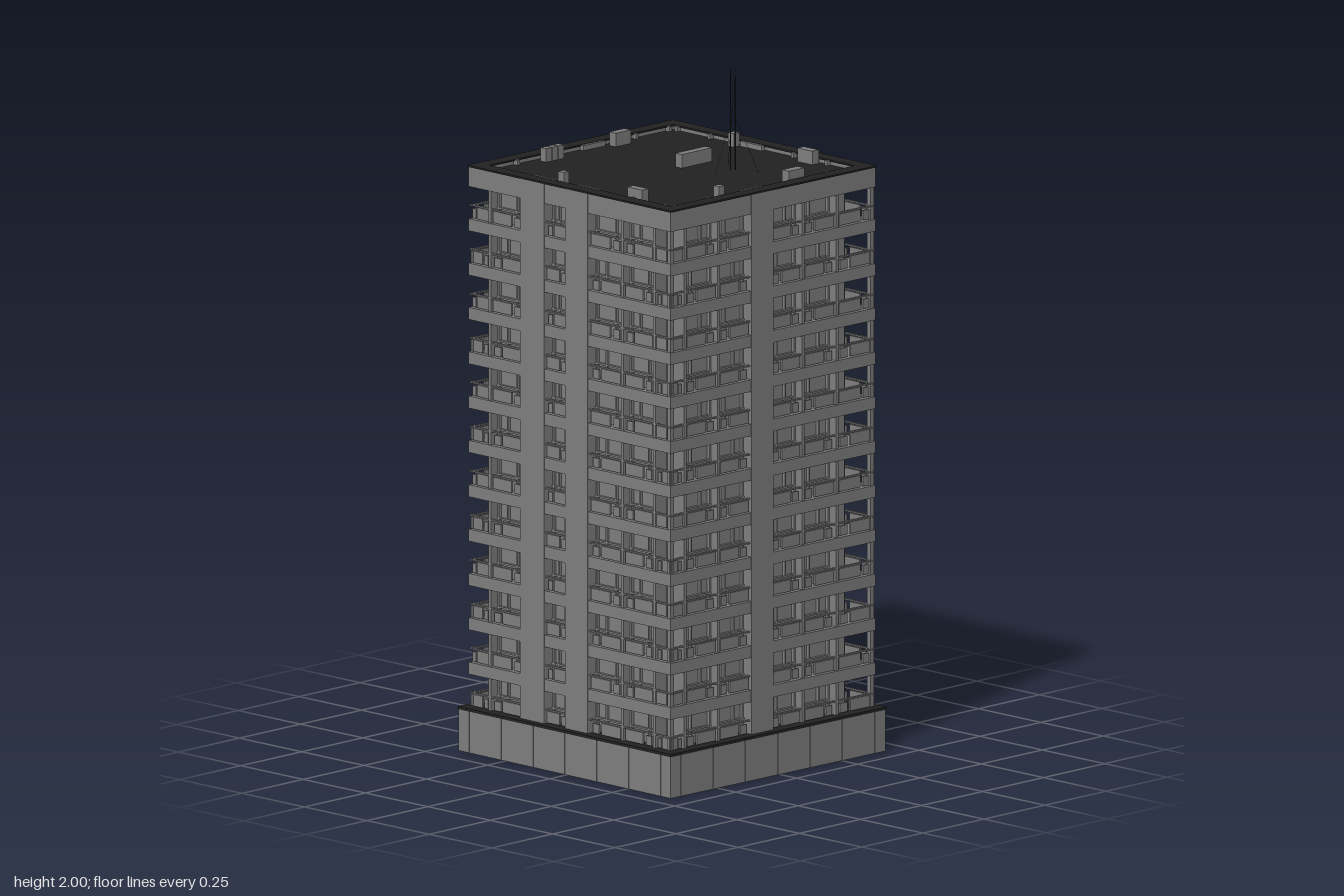
import * as THREE from 'three';
import { mergeGeometries } from 'three/addons/utils/BufferGeometryUtils.js';

const wallMat = new THREE.MeshStandardMaterial({ color: 0x808080 });
const darkMat = new THREE.MeshStandardMaterial({ color: 0x222222 });

const BASE = 0.13, PITCH = 0.1303, FLOORS = 12, OPEN = 0.095, TOP = 1.72;
const OUT = 0.412, CORE = 0.375, NOTCH = 0.325;

function box(w, h, d, x, y, z) {
  return new THREE.BoxGeometry(w, h, d).translate(x, y, z);
}

// Square outline, or a plus outline when the corners are notched
function outline(half, notch) {
  const pts = [];
  for (let i = 0; i < 4; i++) {
    const corner = notch
      ? [[half, notch], [notch, notch], [notch, half]]
      : [[half, half]];
    for (const [x, y] of corner) {
      pts.push(new THREE.Vector2(x, y).rotateAround(new THREE.Vector2(), i * Math.PI / 2));
    }
  }
  return pts;
}

// Horizontal ring between two outlines, from y0 to y1
function ring(outer, inner, y0, y1) {
  const shape = new THREE.Shape(outer);
  if (inner) shape.holes.push(new THREE.Path(inner));
  return new THREE.ExtrudeGeometry(shape, { depth: y1 - y0, bevelEnabled: false })
    .rotateX(-Math.PI / 2).translate(0, y0, 0);
}

function add(parent, name, geometries, material = wallMat) {
  const mesh = new THREE.Mesh(mergeGeometries(geometries), material);
  mesh.name = name;
  parent.add(mesh);
  return mesh;
}

// Bay openings on each side, left to right as seen from outside
const sideBays = [[-OUT, -0.355], [-0.345, -0.22], [-0.21, -0.088], [0, 0.12], [0.13, 0.257], [0.267, OUT]];
const frontBays = [[-OUT, -0.335], [-0.325, -0.2], [-0.102, -0.018], [0.075, 0.205], [0.215, 0.335], [0.345, OUT]];
const backBays = sideBays.map(([a, b]) => [-b, -a]).reverse();

function addFacade(parent, name, bays, angle) {
  const facade = new THREE.Group();
  facade.name = name;
  facade.rotation.y = angle;
  parent.add(facade);

  // Full-height piers and thin fins fill the gaps between bays
  const piers = [];
  for (let i = 0; i + 1 < bays.length; i++) {
    const a = bays[i][1], b = bays[i + 1][0];
    const wide = b - a > 0.05;
    const front = OUT + (wide ? 0.002 : -0.004);
    piers.push(box(b - a, TOP - BASE, front - 0.36, (a + b) / 2, (TOP + BASE) / 2, (front + 0.36) / 2));
  }
  add(facade, 'piers', piers);

  const railings = [], frames = [];
  for (let f = 0; f < FLOORS; f++) {
    const y = BASE + f * PITCH;
    bays.forEach(([a, b], i) => {
      const w = b - a, mid = (a + b) / 2;
      // Balcony parapet with a gap, under a thin handrail
      const flip = (i + f) % 2 ? -1 : 1;
      railings.push(box(w * 0.6, 0.034, 0.006, mid - flip * w * 0.16, y + 0.019, 0.402));
      railings.push(box(w * 0.2, 0.028, 0.006, mid + flip * w * 0.32, y + 0.016, 0.4));
      railings.push(box(w, 0.004, 0.008, mid, y + 0.04, 0.404));
      // Window frame on the recessed wall
      if (i > 0 && i < bays.length - 1) {
        for (const s of [-1, 1]) frames.push(box(0.006, OPEN, 0.01, mid + s * (w / 2 - 0.006), y + OPEN / 2, CORE + 0.004));
        frames.push(box(0.005, OPEN, 0.01, mid + flip * w * 0.15, y + OPEN / 2, CORE + 0.004));
        frames.push(box(w, 0.006, 0.01, mid, y + OPEN - 0.005, CORE + 0.004));
        frames.push(box(w, 0.005, 0.01, mid, y + 0.042, CORE + 0.004));
      }
    });
  }
  add(facade, 'balconyRailings', railings);
  add(facade, 'windowFrames', frames);
}

function rod(a, b, r) {
  return new THREE.TubeGeometry(new THREE.LineCurve3(a, b), 1, r, 5);
}

export function createModel() {
  const model = new THREE.Group();
  model.name = 'apartmentTower';
  const tower = new THREE.Group();
  tower.name = 'tower';
  tower.rotation.y = -0.017;
  model.add(tower);

  // Hollow plinth with panel joints and a dark ledge
  add(tower, 'plinthWalls', [ring(outline(0.432), outline(0.42), 0, 0.124)]);
  add(tower, 'plinthLedge', [ring(outline(0.434), outline(0.37), 0.122, 0.13)], darkMat);
  const joints = [];
  for (let s = 0; s < 4; s++) {
    for (let i = -3; i <= 3; i++) {
      joints.push(box(0.004, 0.122, 0.003, i * 0.13, 0.061, 0.4325).rotateY(s * Math.PI / 2));
    }
  }
  add(tower, 'plinthJoints', joints);

  // Hollow inner walls with notched corners
  add(tower, 'innerWalls', [ring(outline(CORE, NOTCH), outline(CORE - 0.012, NOTCH - 0.012), 0.125, 1.7)]);

  // Floor bands wrapping all four sides, the last one forming the roof parapet
  const bands = [];
  for (let f = 0; f < FLOORS; f++) {
    const y = BASE + f * PITCH + OPEN;
    const last = f === FLOORS - 1;
    bands.push(ring(outline(OUT), outline(last ? CORE : NOTCH - 0.012), y, last ? TOP - 0.003 : BASE + (f + 1) * PITCH));
  }
  add(tower, 'floorBands', bands);

  // Slim posts at three of the corners
  const posts = [[1, 1], [1, -1], [-1, -1]].map(([x, z]) =>
    box(0.014, TOP - BASE - 0.01, 0.014, x * 0.402, (TOP + BASE) / 2 - 0.003, z * 0.402));
  add(tower, 'cornerPosts', posts);

  addFacade(tower, 'frontFacade', frontBays, 0);
  addFacade(tower, 'leftFacade', sideBays, Math.PI / 2);
  addFacade(tower, 'backFacade', backBays, Math.PI);
  addFacade(tower, 'rightFacade', sideBays, -Math.PI / 2);

  // Dark roof deck and parapet coping
  add(tower, 'roofDeck', [ring(outline(0.38), null, 1.695, 1.705)], darkMat);
  add(tower, 'roofCoping', [ring(outline(OUT + 0.003), outline(0.37), TOP - 0.004, TOP + 0.001)], darkMat);

  // Rooftop vents: x, z, width, depth
  const vents = [
    [-0.095, -0.35, 0.023, 0.022], [0.205, -0.348, 0.06, 0.026],
    [-0.095, 0.347, 0.023, 0.022], [0.205, 0.349, 0.06, 0.026],
    [-0.342, -0.137, 0.026, 0.062], [0.352, -0.137, 0.028, 0.062],
    [-0.016, -0.105, 0.026, 0.124], [0.35, 0.165, 0.022, 0.022],
    [-0.344, 0.114, 0.022, 0.022], [-0.344, 0.139, 0.022, 0.022], [-0.344, 0.164, 0.022, 0.022],
  ];
  add(model, 'roofVents', vents.map(([x, z, w, d]) => box(w, 0.045, d, x, 1.7225, z)));

  // Mast pair with guy wires
  const v = (x, y, z) => new THREE.Vector3(x, y, z);
  add(model, 'antennaMasts', [
    rod(v(0.113, 1.7, -0.124), v(0.113, 2, -0.124), 0.0022),
    rod(v(0.118, 1.7, -0.138), v(0.118, 1.98, -0.138), 0.0018),
  ], darkMat);
  add(model, 'guyWires', [[0.06, -0.168], [0.19, -0.16], [0.125, -0.05]].map(([x, z]) =>
    rod(v(0.114, 1.88, -0.13), v(x, 1.705, z), 0.0006)), darkMat);

  return model;
}
